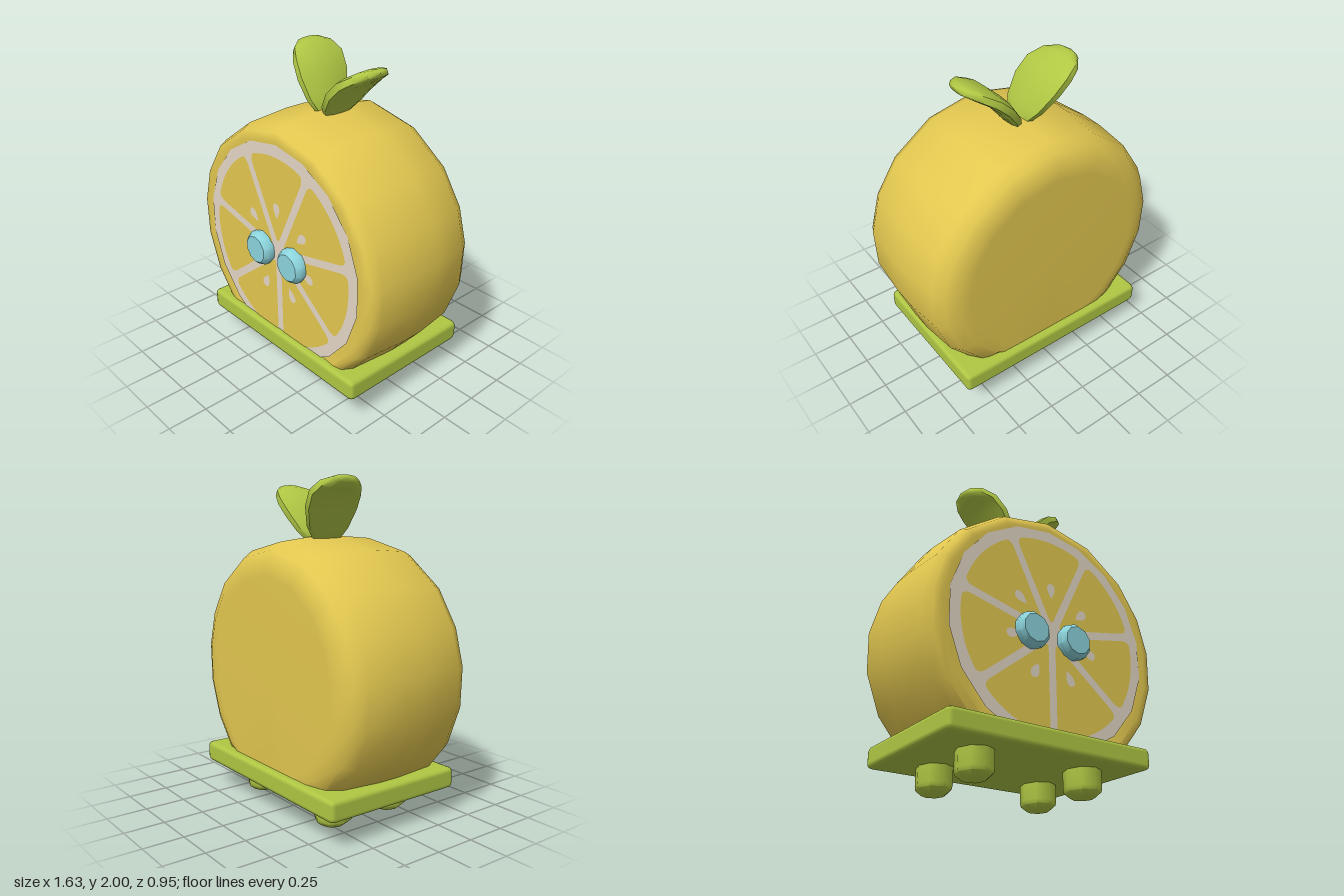
import * as THREE from 'three';
import { toCreasedNormals } from 'three/addons/utils/BufferGeometryUtils.js';
import { RoundedBoxGeometry } from 'three/addons/geometries/RoundedBoxGeometry.js';

const material = (name, color) => {
  const m = new THREE.MeshStandardMaterial({ color });
  m.name = name;
  return m;
};

const lathe = (profile, sides) =>
  new THREE.LatheGeometry(profile.map(([r, y]) => new THREE.Vector2(r, y)), sides);

export function createModel() {
  const group = new THREE.Group();
  const peel = material('peel yellow', 0xe3c850);
  const pith = material('pith cream', 0xe3d6c6);
  const green = material('leaf green', 0xb0c844);
  const blue = material('eye blue', 0x8cd4dc);

  const add = (name, geometry, mat, x = 0, y = 0, z = 0) => {
    const mesh = new THREE.Mesh(geometry, mat);
    mesh.name = name;
    mesh.position.set(x, y, z);
    group.add(mesh);
    return mesh;
  };

  // Fruit body: a drum along z with uneven facets, cut off inside the base
  const body = lathe([
    [0, -0.43], [0.6, -0.43], [0.67, -0.428], [0.75, -0.39], [0.795, -0.32], [0.82, -0.08],
    [0.82, 0.06], [0.797, 0.34], [0.768, 0.4], [0.72, 0.412], [0.66, 0.4], [0, 0.4],
  ], 18);
  body.rotateX(Math.PI / 2);
  const facets = [0, 24, 47, 66, 83, 101, 120, 139, 160, 180];
  const bp = body.attributes.position;
  for (let i = 0; i < bp.count; i++) {
    const x = bp.getX(i), y = bp.getY(i), r = Math.hypot(x, y);
    const a = Math.atan2(x, y);
    const t = Math.sign(a) * THREE.MathUtils.degToRad(facets[Math.round(Math.abs(a) / (Math.PI / 9))]);
    bp.setXY(i, r * Math.sin(t), Math.max(r * Math.cos(t), -0.62));
  }
  add('fruitBody', toCreasedNormals(body, 1), peel, 0, 0.83, 0);

  // Cut face: cream disc, seven rounded segments and their seeds
  const cy = 0.85;
  add('pithDisc', new THREE.CircleGeometry(0.68, 18).rotateZ(Math.PI / 2), pith, 0, cy, 0.411);

  const half = Math.PI / 7, gap = 0.024, outer = 0.605;
  const edge = (d, side) => [ // point at distance d along a segment's side
    side * (d * Math.sin(half) - gap * Math.cos(half)),
    d * Math.cos(half) + gap * Math.sin(half),
  ];
  const wedge = new THREE.Shape();
  const arcHalf = half - 0.11;
  wedge.moveTo(...edge(0.09, -1));
  wedge.quadraticCurveTo(0, 0.06, ...edge(0.09, 1));
  wedge.lineTo(...edge(0.54, 1));
  wedge.quadraticCurveTo(...edge(outer, 1), outer * Math.sin(arcHalf), outer * Math.cos(arcHalf));
  wedge.absarc(0, 0, outer, Math.PI / 2 - arcHalf, Math.PI / 2 + arcHalf, false);
  wedge.quadraticCurveTo(...edge(outer, -1), ...edge(0.54, -1));

  const seed = new THREE.Shape();
  seed.moveTo(0, 0.225);
  seed.bezierCurveTo(0.015, 0.25, 0.03, 0.27, 0.028, 0.295);
  seed.bezierCurveTo(0.025, 0.33, -0.025, 0.33, -0.028, 0.295);
  seed.bezierCurveTo(-0.03, 0.27, -0.015, 0.25, 0, 0.225);

  const wedgeGeometry = new THREE.ShapeGeometry(wedge, 8);
  const seedGeometry = new THREE.ShapeGeometry(seed, 5);
  for (let i = 0; i < 7; i++) {
    const turn = i * 2 * half;
    add('fruitSegment', wedgeGeometry, peel, 0, cy, 0.415).rotation.z = turn;
    add('seed', seedGeometry, pith, 0, cy, 0.419).rotation.z = turn;
  }

  // Eyes
  const eye = lathe([[0.108, 0.4], [0.108, 0.45], [0.085, 0.475], [0, 0.475]], 10);
  eye.rotateX(Math.PI / 2);
  const eyeGeometry = toCreasedNormals(eye, 0.8);
  for (const s of [-1, 1]) add('eye', eyeGeometry, blue, s * 0.147, 0.83, 0);

  // Base board
  add('baseBoard', new RoundedBoxGeometry(1.35, 0.13, 0.925, 1, 0.03), green, 0, 0.225, -0.0125);

  // Feet
  const foot = toCreasedNormals(
    lathe([[0, 0], [0.075, 0.005], [0.115, 0.035], [0.12, 0.06], [0.12, 0.2]], 8), 0.9);
  for (const x of [-0.365, 0.365])
    for (const z of [0.2, -0.222]) add('foot', foot, green, x, 0, z).scale.x = 0.87;

  // Leaves: a sphere flattened and bent along a curve
  const leaf = (name, points, width) => {
    const curve = new THREE.CatmullRomCurve3(points.map((p) => new THREE.Vector3(...p)));
    const g = new THREE.SphereGeometry(1, 10, 7);
    const p = g.attributes.position;
    for (let i = 0; i < p.count; i++) {
      const x = p.getX(i), u = THREE.MathUtils.clamp((p.getY(i) + 1) / 2, 0, 1);
      const c = curve.getPoint(u), t = curve.getTangent(u).setZ(0).normalize();
      const d = Math.sign(x) * Math.pow(Math.abs(x), 0.6) * 0.042;
      p.setXYZ(i, c.x + t.y * d, c.y - t.x * d, c.z + p.getZ(i) * width);
    }
    add(name, toCreasedNormals(g, 1.2), green);
  };
  leaf('leftLeaf', [[0, 1.58, -0.02], [0.12, 1.76, -0.02], [0.24, 1.87, -0.02], [0.385, 1.94, -0.01]], 0.18);
  leaf('rightLeaf', [[0, 1.58, -0.01], [-0.11, 1.79, -0.05], [-0.21, 1.92, -0.08], [-0.325, 1.985, -0.1]], 0.19);

  return group;
}
